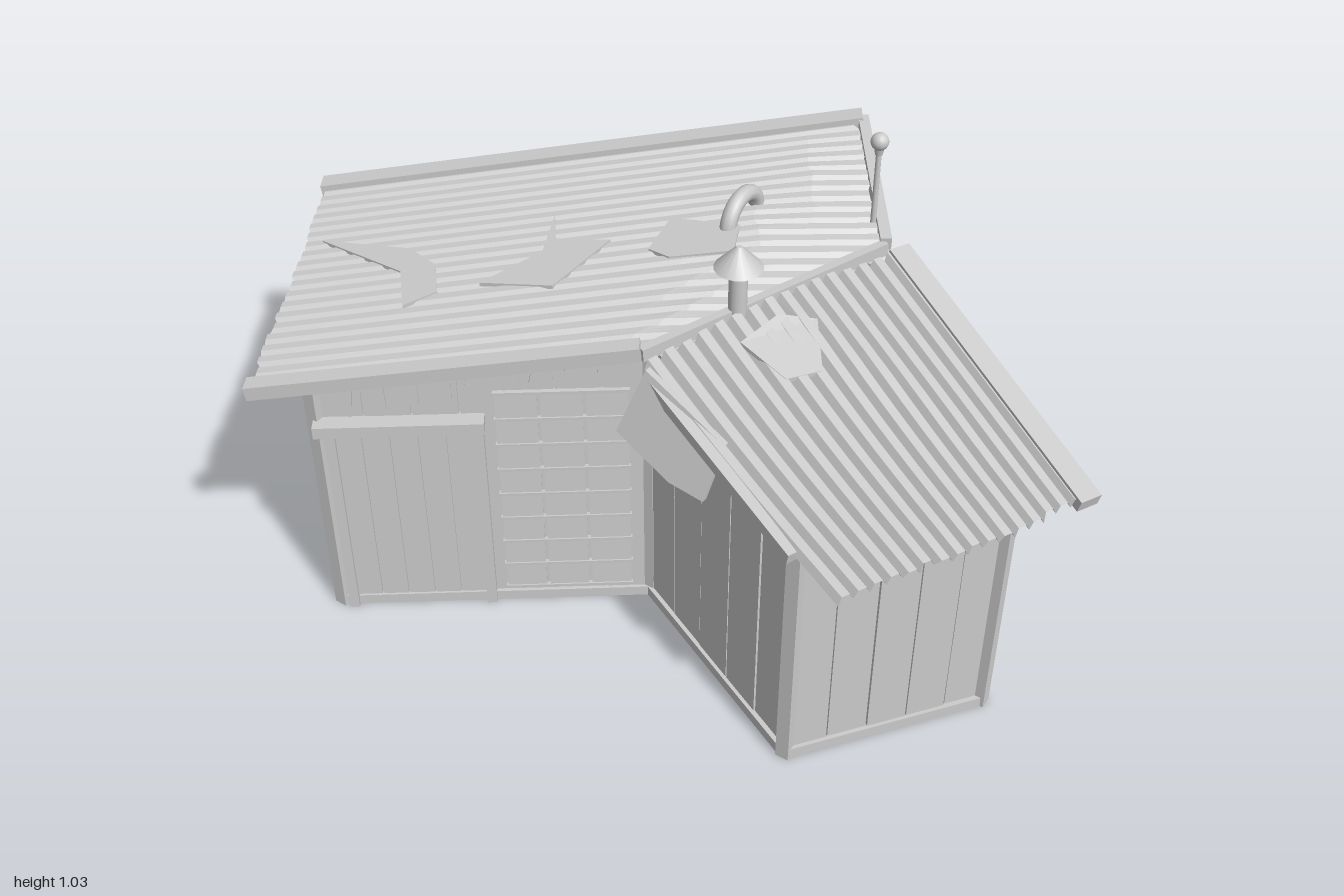
import * as THREE from 'three';

const grey = new THREE.MeshStandardMaterial({ color: 0xcccccc, flatShading: true });
const sheetMat = new THREE.MeshStandardMaterial({ color: 0xcccccc, flatShading: true, side: THREE.DoubleSide });
const smooth = new THREE.MeshStandardMaterial({ color: 0xcccccc });

// Roof heights at (x, z); the main roof sags at its right end, the wing roof at its inner front corner
const mainRoof = (x, z) => 0.771 + 0.12 * x - 0.093 * z - 0.16 * Math.max(0, x - 0.1);
const wingRoof = (x, z) => {
  const s = (x - 0.39) * 0.9 + (z + 0.33) * 0.44;
  return 0.787 - 0.28 * s - 0.2 * Math.max(0, z) * Math.max(0, 1 - s / 0.65);
};

let seed = 7;
const rand = () => (seed = (seed * 16807) % 2147483647) / 2147483647;
const lerp = (a, b, t) => a.map((v, i) => v + (b[i] - v) * t);

function add(parent, name, geo, mat = grey) {
  const m = new THREE.Mesh(geo, mat);
  m.name = name;
  parent.add(m);
  return m;
}

function box(parent, name, w, h, d, x, y, z) {
  const m = add(parent, name, new THREE.BoxGeometry(w, h, d));
  m.position.set(x, y, z);
  return m;
}

// Timber between two points, in the parent's frame
function beam(parent, name, a, b, w, h) {
  const p = new THREE.Vector3(...a), q = new THREE.Vector3(...b);
  const m = new THREE.Mesh(new THREE.BoxGeometry(w, h, p.distanceTo(q)), grey);
  m.name = name;
  m.position.copy(p).add(q).multiplyScalar(0.5);
  m.lookAt(q);
  parent.add(m);
}

// Prism over a plan outline, with bottom and top heights given by rules
function slab(parent, name, pts, bottom, top) {
  const shape = new THREE.Shape(pts.map(([x, z]) => new THREE.Vector2(x, -z)));
  const geo = new THREE.ExtrudeGeometry(shape, { depth: 1, bevelEnabled: false }).rotateX(-Math.PI / 2);
  const p = geo.attributes.position;
  for (let i = 0; i < p.count; i++) {
    const x = p.getX(i), z = p.getZ(i);
    p.setY(i, p.getY(i) > 0.5 ? top(x, z) : bottom(x, z));
  }
  geo.computeVertexNormals();
  add(parent, name, geo);
}

// Corrugated sheet: rows run from start(t) to end(t), ribs follow the rows
function corrugated(parent, name, ribs, depth, start, end, height) {
  const wave = [-depth, depth, depth, depth], pos = [], idx = [];
  const rows = ribs * 4, cols = 10;
  let j0 = 0, j1 = 0;
  for (let r = 0; r <= rows; r++) {
    if (r % 4 === 0) { j0 = rand() * 0.01; j1 = rand() * 0.02; }
    const t = r / rows, a = start(t), b = end(t);
    for (let c = 0; c <= cols; c++) {
      const [x, z] = lerp(a, b, j0 + (1 - j0 - j1) * c / cols);
      pos.push(x, height(x, z) + wave[r % 4], z);
      if (r < rows && c < cols) {
        const i = r * (cols + 1) + c, k = i + cols + 1;
        idx.push(i, k, i + 1, i + 1, k, k + 1);
      }
    }
  }
  const geo = new THREE.BufferGeometry();
  geo.setAttribute('position', new THREE.Float32BufferAttribute(pos, 3));
  geo.setIndex(idx);
  geo.computeVertexNormals();
  add(parent, name, geo, sheetMat);
}

// Planked wall in its own frame: x along the wall, z outwards
function wall(parent, name, a, b, roof, planks) {
  const g = new THREE.Group();
  g.name = name;
  const dx = b[0] - a[0], dz = b[1] - a[1], len = Math.hypot(dx, dz);
  g.position.set(a[0], 0, a[1]);
  g.rotation.y = Math.atan2(-dz, dx);
  parent.add(g);
  const topAt = x => roof(...lerp(a, b, x / len)) - 0.02;
  for (let i = 0; i < planks; i++) {
    const x0 = len * i / planks + 0.0015, x1 = len * (i + 1) / planks - 0.0015;
    const s = new THREE.Shape([[x0, 0.01], [x1, 0.01], [x1, topAt(x1)], [x0, topAt(x0)]].map(p => new THREE.Vector2(...p)));
    add(g, 'plank', new THREE.ExtrudeGeometry(s, { depth: 0.004 + rand() * 0.004, bevelEnabled: false }));
  }
  box(g, 'sill', len, 0.025, 0.022, len / 2, 0.0125, 0.004);
  beam(g, 'topRail', [0, topAt(0) - 0.015, 0.006], [len, topAt(len) - 0.015, 0.006], 0.016, 0.026);
  g.userData.len = len;
  return g;
}

// Louvred shutter between fractions f0 and f1 of a wall
function shutter(w, f0, f1, y0, y1, rows, cols) {
  const g = new THREE.Group();
  g.name = 'shutter';
  w.add(g);
  const x0 = f0 * w.userData.len, width = (f1 - f0) * w.userData.len, cw = width / cols, rh = (y1 - y0) / rows;
  for (let r = 0; r < rows; r++) {
    for (let c = 0; c < cols; c++) {
      const s = box(g, 'slat', cw - 0.007, rh - 0.01, 0.008, x0 + cw * (c + 0.5), y0 + rh * (r + 0.5), 0.01);
      s.rotation.x = -0.05;
    }
  }
  for (let r = 0; r <= rows; r++) box(g, 'ledge', width, 0.007, 0.016, x0 + width / 2, y0 + rh * r, 0.009);
}

export function createModel() {
  const model = new THREE.Group();
  model.name = 'shed';
  const P = [[-0.89, 0], [-0.51, 0.585], [0.065, 0.175], [0.565, 0.425], [0.845, 0.07], [0.345, -0.26], [0.085, -0.625]];
  const floor = () => 0;

  // Solid cores of the two wings
  slab(model, 'mainBody', [P[0], P[1], P[2], P[5], P[6]], floor, (x, z) => mainRoof(x, z) - 0.02);
  slab(model, 'wingBody', [P[2], P[3], P[4], P[5]], floor, (x, z) => wingRoof(x, z) - 0.02);

  // Walls and corner posts
  wall(model, 'leftEndWall', P[0], P[1], mainRoof, 6);
  const front = wall(model, 'frontWall', P[1], P[2], mainRoof, 7);
  wall(model, 'wingFrontWall', P[2], P[3], wingRoof, 5);
  wall(model, 'wingEndWall', P[3], P[4], wingRoof, 5);
  const wingBack = wall(model, 'wingBackWall', P[4], P[5], wingRoof, 6);
  const mainEnd = wall(model, 'mainEndWall', P[5], P[6], mainRoof, 4);
  const back = wall(model, 'backWall', P[6], P[0], mainRoof, 10);
  P.forEach(([x, z], i) => {
    const roof = i >= 2 && i <= 4 ? wingRoof : mainRoof;
    beam(model, 'cornerPost', [x, 0, z], [x, roof(x, z) - 0.02, z], 0.03, 0.03);
  });

  // Shutters
  shutter(front, 0.53, 0.94, 0.04, 0.6, 8, 3);
  shutter(wingBack, 0.58, 0.97, 0.1, 0.6, 8, 2);
  shutter(mainEnd, 0.04, 0.82, 0.04, 0.6, 8, 3);
  shutter(back, 0.16, 0.41, 0.05, 0.62, 9, 3);
  shutter(back, 0.44, 0.735, 0.05, 0.6, 9, 3);
  box(back, 'middlePost', 0.025, 0.71, 0.026, back.userData.len * 0.425, 0.355, 0.008);

  // Door with frame, header and broken boards above it
  const door = new THREE.Group();
  door.name = 'door';
  front.add(door);
  for (let i = 0; i < 5; i++) box(door, 'doorBoard', 0.056, 0.47, 0.008, 0.062 + i * 0.06, 0.265, 0.011);
  for (const x of [0.025, 0.34]) box(door, 'doorFrame', 0.022, 0.52, 0.026, x, 0.26, 0.012);
  box(door, 'doorHeader', 0.36, 0.028, 0.05, 0.175, 0.53, 0.02);
  for (let i = 0; i < 9; i++) {
    const b = box(front, 'upperBoard', 0.04, 0.07, 0.006, 0.06 + i * 0.07, 0.585 + i * 0.012, 0.01);
    b.rotation.z = (rand() - 0.5) * 0.5;
  }

  // Roof sheets
  const A = [-0.99, 0.01], B = [0.1, -0.68], C = [0.36, -0.3], D = [0.1, 0.26], E = [-0.6, 0.68];
  const F = [0.385, -0.31], G = [0.982, 0.015], H = [0.715, 0.53], I = [0.11, 0.265];
  corrugated(model, 'mainRoof', 20, 0.005, t => lerp(A, E, t),
    t => (t < 0.6 ? lerp(B, C, t / 0.6) : lerp(C, D, (t - 0.6) / 0.4)), mainRoof);
  corrugated(model, 'wingRoof', 16, 0.008, t => lerp(F, I, t), t => lerp(G, H, t), wingRoof);

  // Edge boards
  const edge = (name, a, b, roof, w, h, up = 0) => beam(model, name,
    [a[0], roof(...a) + up, a[1]], [b[0], roof(...b) + up, b[1]], w, h);
  edge('backEaveBoard', A, B, mainRoof, 0.05, 0.032, 0.003);
  edge('frontEaveBoard', E, D, mainRoof, 0.04, 0.032, 0.003);
  edge('mainVergeBoard', B, C, mainRoof, 0.025, 0.03);
  edge('ridgeBoard', C, D, mainRoof, 0.02, 0.03, -0.008);
  edge('wingBackBoard', F, G, wingRoof, 0.05, 0.03);
  edge('wingFrontBoard', lerp(I, H, 0.05), lerp(I, H, 0.78), wingRoof, 0.03, 0.025, -0.012);

  // Torn patches on the roof
  const patch = (pts, roof) => slab(model, 'roofPatch', pts,
    (x, z) => roof(x, z), (x, z) => roof(x, z) + 0.009);
  patch([[-0.82, 0.2], [-0.6, 0.15], [-0.5, 0.18], [-0.43, 0.26], [-0.47, 0.33], [-0.56, 0.23]], mainRoof);
  patch([[-0.36, -0.08], [-0.3, 0.0], [-0.18, -0.04], [-0.2, 0.15], [-0.36, 0.2], [-0.3, 0.05]], mainRoof);
  patch([[-0.1, -0.16], [0.06, -0.19], [0.1, -0.1], [-0.02, -0.03], [-0.08, -0.04]], mainRoof);
  patch([[0.28, 0.02], [0.35, -0.02], [0.42, 0.08], [0.37, 0.14], [0.25, 0.12]], wingRoof);

  // Board hanging from the wing's front eave
  const flap = new THREE.Shape([[0.13, 0.74], [0.35, 0.68], [0.33, 0.56], [0.24, 0.56], [0.09, 0.6]].map(p => new THREE.Vector2(...p)));
  const flapGeo = new THREE.ExtrudeGeometry(flap, { depth: 0.014, bevelEnabled: false });
  const fp = flapGeo.attributes.position;
  for (let i = 0; i < fp.count; i++) fp.setZ(i, fp.getZ(i) + 0.265 + 0.14 * (fp.getX(i) - 0.1) + 0.4 * (0.75 - fp.getY(i)));
  flapGeo.computeVertexNormals();
  add(model, 'hangingBoard', flapGeo);

  // Chimney with cone cap
  const round = (name, r0, r1, h, x, y, z) => {
    add(model, name, new THREE.CylinderGeometry(r0, r1, h, 16), smooth).position.set(x, y, z);
  };
  round('chimneyPipe', 0.02, 0.02, 0.16, 0.2, 0.81, 0.05);
  round('chimneyCap', 0.006, 0.052, 0.05, 0.2, 0.905, 0.05);

  // Bent vent pipe
  const vent = add(model, 'ventPipe', new THREE.TorusGeometry(0.062, 0.019, 10, 20, Math.PI), smooth);
  vent.rotation.y = Math.PI / 2;
  vent.position.set(0.04, 0.787, -0.235);

  // Mast with knob
  round('mast', 0.006, 0.007, 0.42, 0.3, 0.79, -0.355);
  round('mastCollar', 0.012, 0.008, 0.02, 0.3, 0.985, -0.355);
  add(model, 'mastKnob', new THREE.SphereGeometry(0.02, 14, 10), smooth).position.set(0.3, 1.007, -0.355);

  return model;
}
